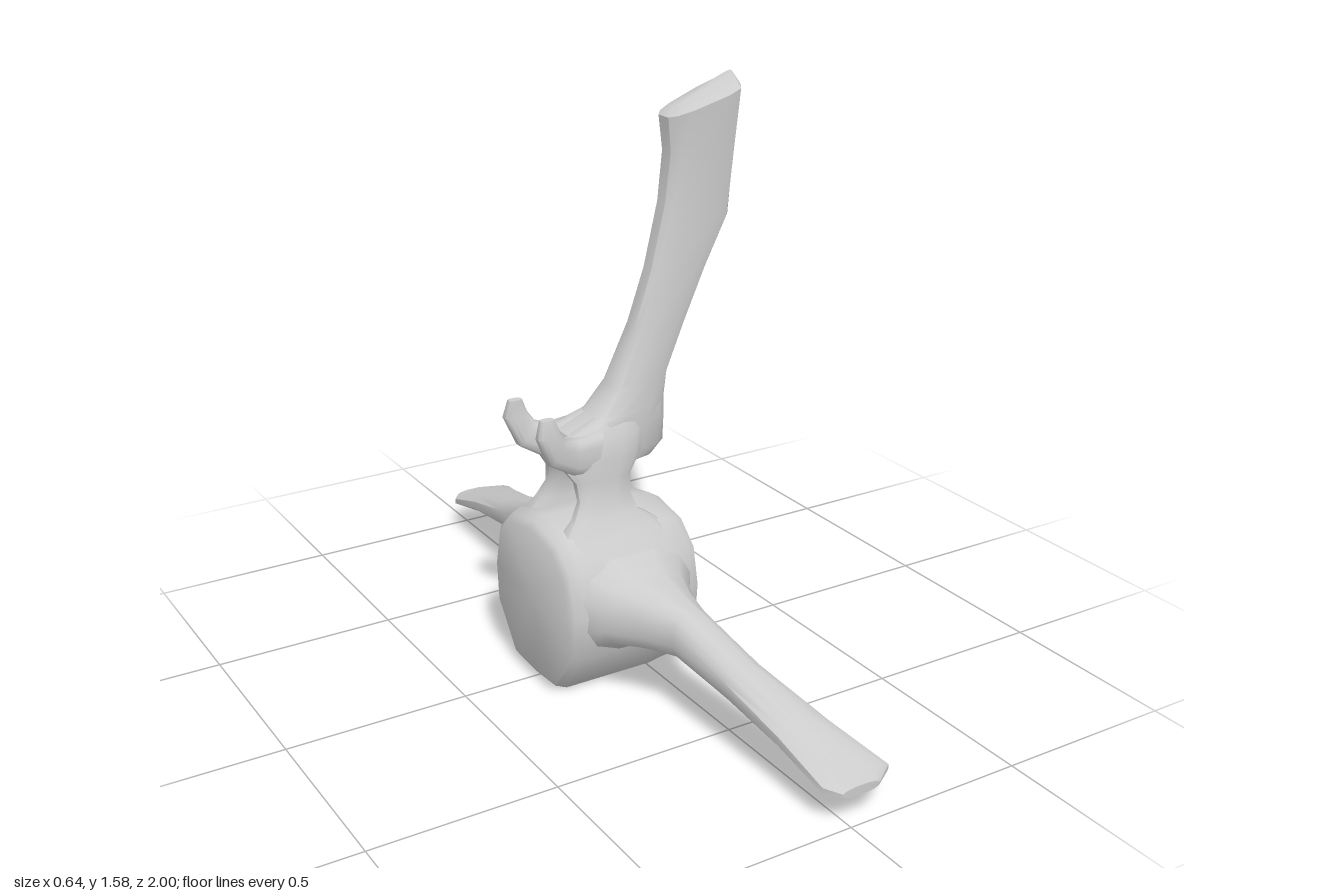
import * as THREE from 'three';
import { mergeVertices, toCreasedNormals } from 'three/addons/utils/BufferGeometryUtils.js';

const bone = new THREE.MeshStandardMaterial({ color: 0xcccccc });
bone.name = 'bone';

const V = (x, y, z) => new THREE.Vector3(x, y, z);
const Y = V(0, 1, 0), Z = V(0, 0, 1);

// Rounded-box section from end a to end b, half as thick as wa..wb along an axis
function section(a, b, axis, wa, wb, sides = 12, power = 0.6) {
  const pts = [];
  const soft = (t) => Math.sign(t) * Math.abs(t) ** power;
  for (let i = 0; i < sides; i++) {
    const ang = ((i + 0.5) / sides) * Math.PI * 2;
    const t = (1 - soft(Math.cos(ang))) / 2;
    const w = THREE.MathUtils.lerp(wa, wb, t) * soft(Math.sin(ang));
    pts.push(a.clone().lerp(b, t).addScaledVector(axis, w));
  }
  return pts;
}

// Skin a list of equal sections, cap both ends and turn the faces outward
function loft(name, rings, crease = 0.85) {
  const n = rings[0].length, last = rings.length - 1;
  const verts = rings.flat();
  const mid = (r) => r.reduce((s, p) => s.add(p), V(0, 0, 0)).divideScalar(n);
  verts.push(mid(rings[0]), mid(rings[last]));
  const faces = [];
  for (let i = 0; i < n; i++) {
    const j = (i + 1) % n;
    for (let k = 0; k < last; k++) {
      const a = k * n + i, b = k * n + j;
      faces.push([a, b, b + n], [a, b + n, a + n]);
    }
    faces.push([verts.length - 2, j, i]);
    faces.push([verts.length - 1, last * n + i, last * n + j]);
  }
  let volume = 0;
  for (const [a, b, c] of faces) volume += verts[a].dot(verts[b].clone().cross(verts[c]));
  if (volume < 0) faces.forEach((f) => f.reverse());
  const geo = new THREE.BufferGeometry().setFromPoints(verts);
  geo.setIndex(faces.flat());
  const mesh = new THREE.Mesh(toCreasedNormals(mergeVertices(geo), crease), bone);
  mesh.name = name;
  return mesh;
}

// Sections given as [leftX, leftY, rightX, rightY, leftHalf, rightHalf], thick along z
const blade = (rows, zc = 0) =>
  rows.map(([lx, ly, rx, ry, wl, wr]) => section(V(lx, ly, zc), V(rx, ry, zc), Z, wl, wr));

export function createModel() {
  const group = new THREE.Group();
  group.name = 'vertebra';

  // Drum-shaped body, lying along x
  const half = [[0, 0.475], [0.13, 0.45], [0.2, 0.385], [0.225, 0.27], [0.215, 0.15], [0.11, 0.015]];
  const outline = [...half, [0, 0.008], ...half.slice(1).reverse().map(([z, y]) => [-z, y])];
  const bodyRings = [[-0.298, 0.87], [-0.285, 0.95], [-0.255, 1], [0.0, 1], [0.07, 0.96], [0.1, 0.88]]
    .map(([x, s]) => outline.map(([z, y]) => V(x, 0.24 + (y - 0.24) * s, z * s)));
  group.add(loft('body', bodyRings));

  // Tall blade sweeping up from the roof of the arch
  group.add(loft('spine', blade([
    [-0.2, 0.605, 0.07, 0.595, 0.085, 0.045],
    [-0.215, 0.65, 0.1, 0.625, 0.092, 0.05],
    [-0.2, 0.695, 0.102, 0.7, 0.085, 0.055],
    [-0.12, 0.73, 0.1, 0.75, 0.07, 0.055],
    [-0.06, 0.8, 0.11, 0.83, 0.055, 0.055],
    [0.01, 0.95, 0.16, 0.95, 0.047, 0.055],
    [0.06, 1.1, 0.225, 1.09, 0.042, 0.055],
    [0.1, 1.27, 0.292, 1.22, 0.042, 0.06],
    [0.115, 1.4, 0.307, 1.42, 0.046, 0.072],
    [0.105, 1.49, 0.318, 1.56, 0.052, 0.085],
    [0.125, 1.51, 0.312, 1.59, 0.01, 0.012],
  ]), 0.6));

  for (const s of [1, -1]) {
    const side = s > 0 ? 'left' : 'right';

    // Side wing: [z, centre x, centre y, half width, half height]
    const wing = [
      [0.1, -0.1, 0.27, 0.19, 0.16], [0.2, -0.1, 0.27, 0.18, 0.13],
      [0.25, -0.095, 0.27, 0.135, 0.1], [0.32, -0.075, 0.262, 0.09, 0.082],
      [0.4, -0.055, 0.252, 0.056, 0.068], [0.6, -0.03, 0.205, 0.06, 0.047],
      [0.8, 0.005, 0.155, 0.077, 0.033], [0.96, 0.04, 0.104, 0.1, 0.022],
      [1.0, 0.025, 0.102, 0.055, 0.013],
    ].map(([z, x, y, rx, ry]) =>
      section(V(x - rx, y, s * z), V(x + rx, y, s * z), Y, ry, ry, 12, 0.8));
    group.add(loft(side + 'Wing', wing));

    // Arch pillar: [y, min x, max x, inner z, outer z]
    const pillar = [
      [0.38, -0.28, 0.07, 0.04, 0.205], [0.44, -0.265, 0.04, 0.05, 0.16],
      [0.485, -0.225, -0.03, 0.068, 0.125], [0.53, -0.2, -0.045, 0.062, 0.107],
      [0.58, -0.205, -0.038, 0.047, 0.1], [0.63, -0.24, 0.0, 0.015, 0.098],
      [0.69, -0.22, 0.01, 0.01, 0.085], [0.73, -0.12, 0.0, 0.01, 0.06],
    ].map(([y, x0, x1, z0, z1]) => {
      const zc = (s * (z0 + z1)) / 2, w = (z1 - z0) / 2;
      return section(V(x0, y, zc), V(x1, y, zc), Z, w, w, 12, 0.75);
    });
    group.add(loft(side + 'Pillar', pillar));

    // Small upturned prong
    const prong = [
      [-0.15, 0.59, -0.12, 0.71, 0.035, 0.06], [-0.21, 0.605, -0.195, 0.7, 0.033, 0.068],
      [-0.285, 0.65, -0.235, 0.71, 0.025, 0.08], [-0.32, 0.73, -0.255, 0.74, 0.019, 0.09],
      [-0.308, 0.777, -0.27, 0.777, 0.012, 0.086],
    ].map(([lx, ly, rx, ry, w, z]) => blade([[lx, ly, rx, ry, w, w]], s * z)[0]);
    group.add(loft(side + 'Prong', prong));
  }
  return group;
}
